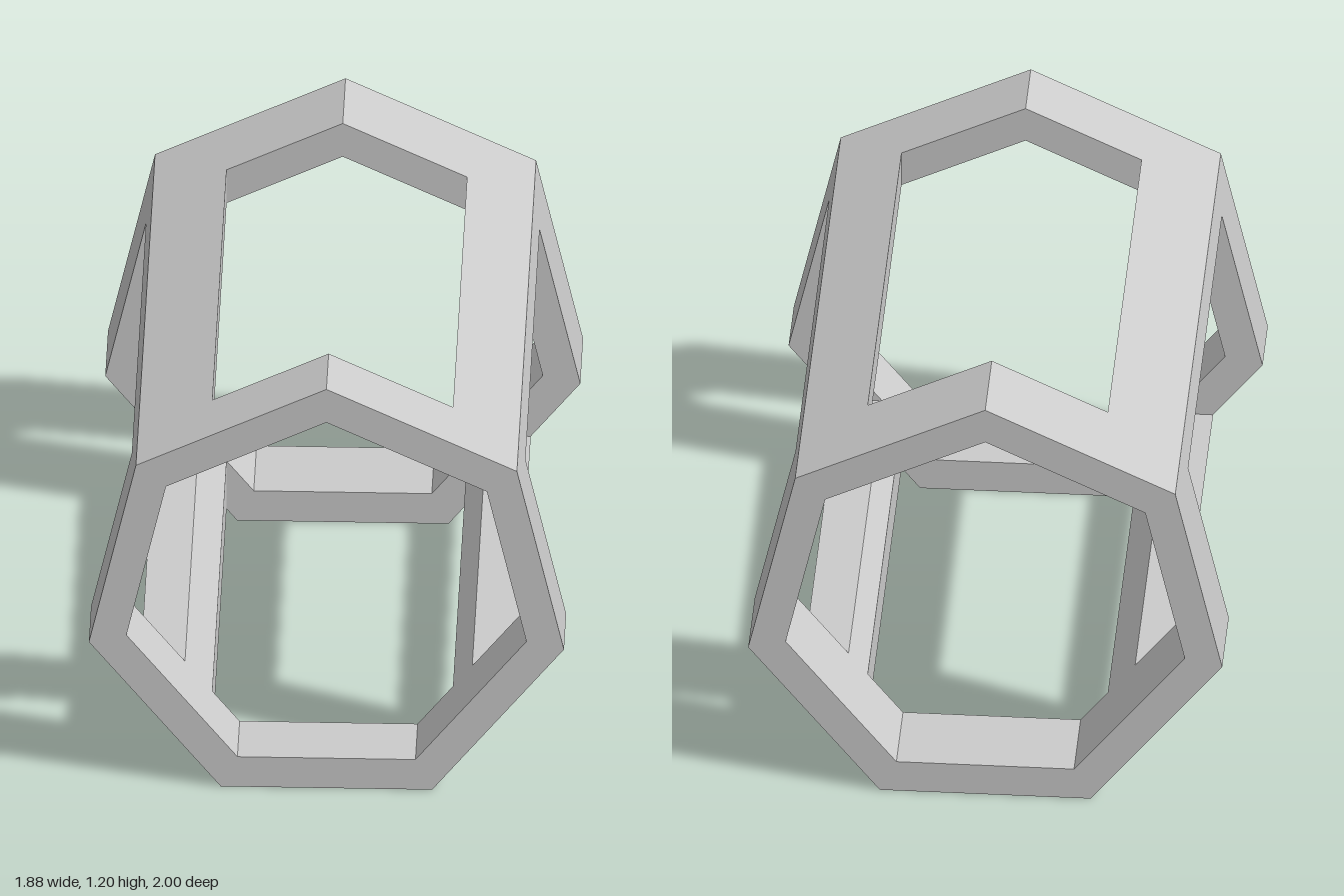
import * as THREE from 'three';

const R_OUT = 0.633, R_IN = 0.533;        // heptagon corner radii
const CY = R_OUT * Math.cos(Math.PI / 7); // tube axis height
const FRONT = 0.792, BACK = -0.792;       // tube ends along its axis
const OPEN_FRONT = 0.61, OPEN_BACK = -0.562; // ends of the cut openings
const WIN_LOW = 0.268, WIN_HIGH = 0.893;  // height range of the side windows

const material = new THREE.MeshStandardMaterial({ color: 0xcccccc, flatShading: true });

// Corner k of a heptagon, counted clockwise from the top
const corner = (r, k) => {
  const a = (k * 2 * Math.PI) / 7;
  return new THREE.Vector2(r * Math.sin(a), CY + r * Math.cos(a));
};
const heptagon = (r) => Array.from({ length: 7 }, (_, k) => corner(r, k));

// Point on the line a-b at a given x or y
const atX = (a, b, x) => a.clone().lerp(b, (x - a.x) / (b.x - a.x));
const atY = (a, b, y) => a.clone().lerp(b, (y - a.y) / (b.y - a.y));

function extrude(name, shape, z0, z1) {
  const geo = new THREE.ExtrudeGeometry(shape, { depth: z1 - z0, bevelEnabled: false });
  geo.translate(0, 0, z0);
  const mesh = new THREE.Mesh(geo, material);
  mesh.name = name;
  return mesh;
}

// Outline counter-clockwise, hole clockwise, so the inner walls face inwards
function ring(name, z0, z1) {
  const shape = new THREE.Shape(heptagon(R_OUT).reverse());
  shape.holes.push(new THREE.Path(heptagon(R_IN)));
  return extrude(name, shape, z0, z1);
}

export function createModel() {
  const group = new THREE.Group();
  group.name = 'heptagonalFrame';

  // End rings
  group.add(ring('frontRing', OPEN_FRONT, FRONT));
  group.add(ring('backRing', BACK, OPEN_BACK));

  // Rails left between the roof, floor and side openings
  const o = heptagon(R_OUT), i = heptagon(R_IN);
  for (const [side, s, cut] of [['left', 1, 0.323], ['right', -1, 0.302]]) {
    const upper = [
      atX(o[0], o[1], cut), o[1], atY(o[1], o[2], WIN_HIGH),
      atY(i[1], i[2], WIN_HIGH), i[1], atX(i[0], i[1], cut),
    ];
    const lower = [
      atY(o[2], o[3], WIN_LOW), atX(o[2], o[3], cut),
      atX(i[2], i[3], cut), atY(i[2], i[3], WIN_LOW),
    ];
    for (const [level, pts] of [['Upper', upper], ['Lower', lower]]) {
      const shape = new THREE.Shape(pts.map((p) => new THREE.Vector2(p.x * s, p.y)));
      group.add(extrude(side + level + 'Rail', shape, OPEN_BACK, OPEN_FRONT));
    }
  }

  // The frame stands turned about the vertical
  group.rotation.y = 0.549;
  return group;
}
